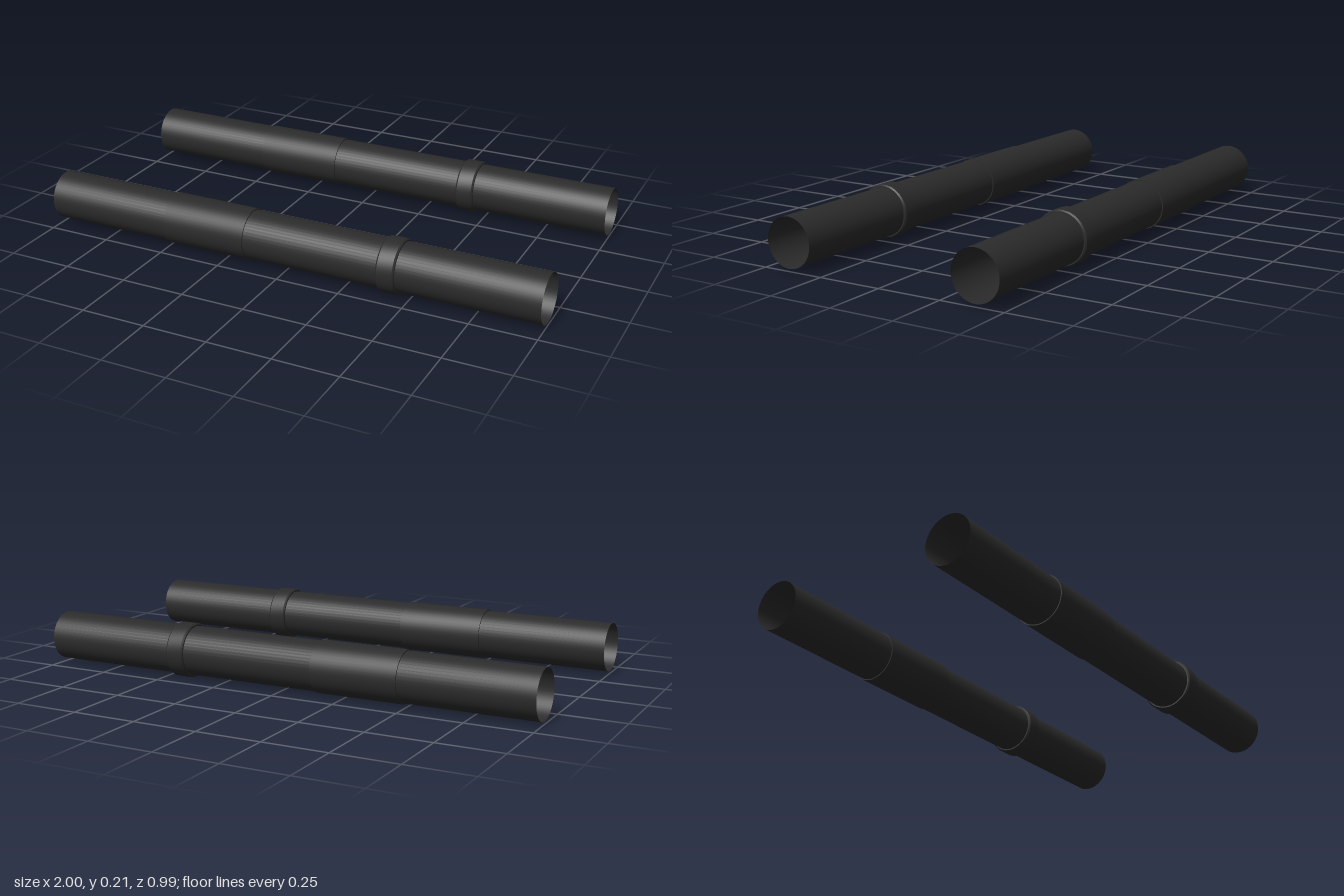
import * as THREE from 'three';
import { toCreasedNormals } from 'three/addons/utils/BufferGeometryUtils.js';

const SIDES = 48;
const TUBE_R = 0.094, SLEEVE_R = 0.098, RING_R = 0.104;

const dark = new THREE.MeshStandardMaterial({ color: 0x2b2b2b, side: THREE.DoubleSide });

// Turns an [x, radius] profile around the x axis
function turned(name, profile) {
  const points = profile.map(([x, r]) => new THREE.Vector2(r, x));
  const geometry = toCreasedNormals(new THREE.LatheGeometry(points, SIDES), 0.5);
  geometry.rotateZ(-Math.PI / 2);
  const mesh = new THREE.Mesh(geometry, dark);
  mesh.name = name;
  return mesh;
}

function createPipe(name) {
  const pipe = new THREE.Group();
  pipe.name = name;

  // Thin open tube
  pipe.add(turned('tube', [[-1, TUBE_R], [1, TUBE_R]]));

  // Long, slightly wider sleeve with square ends
  pipe.add(turned('sleeve', [
    [-0.49, TUBE_R], [-0.49, SLEEVE_R], [-0.15, SLEEVE_R], [-0.15, TUBE_R],
  ]));

  // Short collar with bevelled edges
  pipe.add(turned('collar', [
    [0.39, TUBE_R], [0.39, 0.099], [0.396, RING_R],
    [0.456, RING_R], [0.462, 0.099], [0.462, TUBE_R],
  ]));
  return pipe;
}

export function createModel() {
  const model = new THREE.Group();
  model.name = 'pipePair';
  for (const side of [1, -1]) {
    const pipe = createPipe(side > 0 ? 'frontPipe' : 'backPipe');
    pipe.position.set(0, RING_R, side * 0.389);
    model.add(pipe);
  }
  return model;
}
